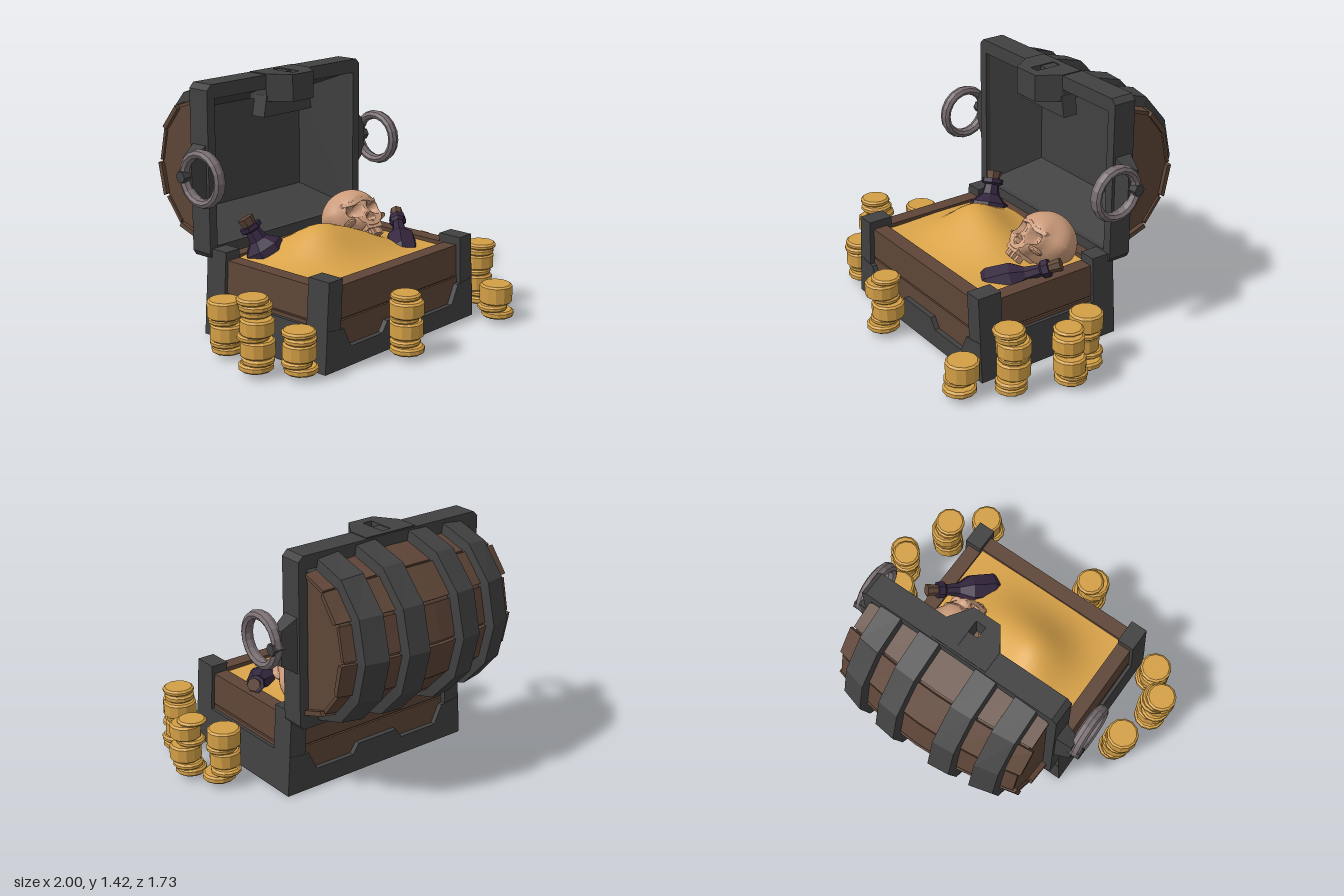
import * as THREE from 'three';

const mat = (name, color, side = THREE.FrontSide, flatShading = true) => {
  const m = new THREE.MeshStandardMaterial({ color, side, flatShading });
  m.name = name;
  return m;
};
const add = (parent, name, geo, material) => {
  const m = new THREE.Mesh(geo, material);
  m.name = name;
  parent.add(m);
  return m;
};
const group = (parent, name) => {
  const g = new THREE.Group();
  g.name = name;
  parent.add(g);
  return g;
};
// Box from its minimum and maximum corners
const box = (x0, x1, y0, y1, z0, z1) =>
  new THREE.BoxGeometry(x1 - x0, y1 - y0, z1 - z0).translate((x0 + x1) / 2, (y0 + y1) / 2, (z0 + z1) / 2);
const warp = (geo, rule) => {
  const p = geo.attributes.position, v = new THREE.Vector3();
  for (let i = 0; i < p.count; i++) {
    v.fromBufferAttribute(p, i);
    rule(v);
    p.setXYZ(i, v.x, v.y, v.z);
  }
  geo.computeVertexNormals();
  return geo;
};
const vectors = pts => pts.map(p => new THREE.Vector2(...p));
const shapeOf = pts => new THREE.Shape(vectors(pts));
const extrude = (shape, depth) => new THREE.ExtrudeGeometry(shape, { depth, bevelEnabled: false });
const lathe = (pts, sides) => new THREE.LatheGeometry(vectors(pts), sides);

export function createModel() {
  const model = new THREE.Group();
  model.name = 'treasureChest';
  const iron = mat('darkIron', 0x414141, THREE.DoubleSide);
  const wood = mat('brownWood', 0x5e4537);
  const sand = mat('goldPile', 0xd9a349, THREE.DoubleSide, false);
  const coinGold = mat('coinGold', 0xd4a046);
  const glass = mat('purpleGlass', 0x34263e);
  const bone = mat('bone', 0xcb9b7b);
  const steel = mat('ringSteel', 0x786d70);

  const chest = group(model, 'chest');
  chest.position.x = -0.02;

  // Base, narrowing slightly towards the top; a set-back wall closes the seam between planks
  const base = group(chest, 'base');
  const taper = geo => warp(geo, v => { v.x *= 1 - 0.1 * v.y; });
  for (const [y0, y1, inset] of [[0.04, 0.255, 0], [0.265, 0.45, 0], [0.04, 0.44, 0.012]]) {
    add(base, 'frontPlank', taper(box(-0.6, 0.6, y0, y1, 0.49 + inset, 0.58 - inset)), wood);
    add(base, 'backPlank', taper(box(-0.6, 0.6, y0, y1, -0.28 + inset, -0.2 - inset)), wood);
    for (const s of [-1, 1])
      add(base, 'sidePlank', taper(box(s * 0.57 - 0.045 + inset, s * 0.57 + 0.045 - inset, y0, y1, -0.26, 0.56)), wood);
  }
  add(base, 'floor', box(-0.61, 0.61, 0.004, 0.06, -0.29, 0.59), iron);
  add(base, 'bottomPanel', box(-0.46, 0.46, 0, 0.01, -0.15, 0.45), wood);
  const rim = [[-0.635, 0], [0.635, 0], [0.635, 0.235], [0.5, 0.22], [0.44, 0.11], [0.18, 0.11], [0.14, 0.17],
    [-0.14, 0.17], [-0.18, 0.11], [-0.44, 0.11], [-0.5, 0.22], [-0.635, 0.235]];
  for (const z of [0.57, -0.31])
    add(base, 'ironRim', taper(extrude(shapeOf(rim), 0.04).translate(0, 0, z)), iron);
  for (const s of [-1, 1]) {
    add(base, 'ironSide', taper(box(s * 0.615 - 0.02, s * 0.615 + 0.02, 0, 0.235, -0.31, 0.61)), iron);
    for (const z of [-0.235, 0.535])
      add(base, 'cornerPost', taper(box(s * 0.58 - 0.055, s * 0.58 + 0.055, 0.02, 0.5, z - 0.073, z + 0.073)), iron);
  }

  // Gold heap
  const hill = (x, z, cx, cz, h, s) => h * Math.exp(-((x - cx) ** 2 + (z - cz) ** 2) / (2 * s * s));
  add(chest, 'goldHeap', warp(new THREE.PlaneGeometry(1.04, 0.72, 28, 20).rotateX(-Math.PI / 2), v => {
    v.z += 0.15;
    v.y = 0.425 + hill(v.x, v.z, -0.16, 0.13, 0.15, 0.14) + hill(v.x, v.z, 0.1, 0.16, 0.1, 0.15)
      + hill(v.x, v.z, -0.2, -0.08, 0.05, 0.14);
  }), sand);

  // Lid: barrel-shaped shell, bulging in the middle
  const lid = group(chest, 'lid');
  const CY = 0.925, CZ = -0.4;
  const arcPanel = (x0, x1, a0, a1, outer, inner, nx, na, chamfer = 0) =>
    warp(new THREE.BoxGeometry(1, 1, 1, nx, na, 1), v => {
      const x = x0 + (v.x + 0.5) * (x1 - x0), a = a0 + (v.y + 0.5) * (a1 - a0);
      const off = v.z < 0 ? outer : inner, t = (x / 0.58) ** 2;
      v.set(x - (v.z < 0 ? Math.sign(v.x) * chamfer : 0), CY + (0.43 - 0.035 * t + off) * Math.sin(a),
        CZ - (0.41 - 0.09 * t + off) * Math.cos(a));
    });
  const H = Math.PI / 2, step = Math.PI / 6;
  for (let i = 0; i < 6; i++) {
    const a = -H + i * step, end = i % 2 ? 0.575 : 0.59;
    add(lid, 'lidPlank', arcPanel(-end, end, a + 0.02, a + step - 0.02, i % 2 ? 0 : 0.008, -0.02, 6, 1), wood);
  }
  add(lid, 'lidLining', arcPanel(-0.56, 0.56, -H, H, -0.012, -0.02, 6, 6), wood);
  const capPts = [];
  for (let i = 0; i <= 6; i++) capPts.push([0.31 * Math.cos(-H + i * step), 0.385 * Math.sin(-H + i * step)]);
  for (const x of [-0.56, 0.545])
    add(lid, 'lidEnd', extrude(shapeOf(capPts), 0.015).rotateY(H).translate(x, CY, CZ), wood);
  for (const [x, w] of [[0.43, 0.078], [0.18, 0.076]])
    for (const s of [-1, 1])
      add(lid, 'ironBand', arcPanel(s * x - w, s * x + w, -H, H, 0.058, -0.015, 1, 6, 0.012), iron);

  // Lid frame with chamfered corners, and the tapering inside
  const frame = shapeOf([[-0.6, 0.44], [0.6, 0.44], [0.62, 0.47], [0.62, 1.39], [0.59, 1.42], [-0.59, 1.42],
    [-0.62, 1.39], [-0.62, 0.47]]);
  frame.holes.push(new THREE.Path(vectors([[-0.565, 0.51], [-0.565, 1.34], [0.565, 1.34], [0.565, 0.51]])));
  add(lid, 'lidFrame', extrude(frame, 0.14).translate(0, 0, -0.41), iron);
  const inside = new THREE.BoxGeometry(1, 1, 1);
  inside.setIndex([...inside.index.array].filter((_, i) => i < 24 || i > 29));
  add(lid, 'lidInside', warp(inside, v => {
    const back = v.z < 0;
    v.set(v.x * (back ? 0.86 : 1.13), CY + v.y * (back ? 0.59 : 0.83), back ? -0.59 : -0.3);
  }), iron);

  // Lock tongue with a slot
  const lock = shapeOf([[-0.17, 0.4], [-0.17, 0.27], [-0.085, 0.145], [0.085, 0.145], [0.17, 0.27], [0.17, 0.4]]);
  lock.holes.push(new THREE.Path(vectors([[-0.03, 0.2], [-0.03, 0.36], [0.03, 0.36], [0.03, 0.2]])));
  add(lid, 'lock', extrude(lock, 0.155).rotateX(-H).translate(0, 1.27, 0), iron);
  add(lid, 'lockFlange', warp(box(-0.195, 0.195, 1.18, 1.3, -0.36, -0.265), v => {
    if (v.y > 1.25) v.x *= 0.88;
  }), iron);

  // Ring handles on flared brackets
  for (const s of [-1, 1]) {
    const handle = group(lid, s > 0 ? 'leftHandle' : 'rightHandle');
    add(handle, 'bracket', warp(box(-0.05, 0.05, -0.165, 0.165, -0.055, 0.055), v => {
      if (v.x * s > 0) { v.y *= 0.6; v.z *= 0.6; }
    }).translate(s * 0.66, CY, -0.34), iron);
    add(handle, 'pin', new THREE.CylinderGeometry(0.035, 0.035, 0.12, 6).rotateZ(H)
      .translate(s * 0.7, CY, -0.345), iron);
    add(handle, 'ring', new THREE.TorusGeometry(0.138, 0.027, 8, 18).rotateY(H).scale(1.3, 1, 1)
      .translate(s * 0.718, 0.93, -0.215), steel);
  }

  // Skull: a sphere with sockets pressed in, pinched temples and a narrow upper jaw
  const skull = group(model, 'skull');
  skull.position.set(0.295, 0.525, -0.06);
  skull.rotation.set(-0.75, -0.12, -0.1);
  const dents = [[-0.07, -0.02, 0.042, 0.08], [0.07, -0.02, 0.042, 0.08], [0, -0.085, 0.02, 0.05]];
  add(skull, 'cranium', warp(new THREE.IcosahedronGeometry(1, 14), v => {
    v.multiply(new THREE.Vector3(0.176, 0.165, 0.182));
    const low = Math.max(0, Math.min(1, (0.03 - v.y) / 0.14));
    v.x *= 1 - 0.25 * low;
    if (v.z > 0) {
      v.z += 0.07 * low * Math.min(1, v.z / 0.06);
      v.x *= 1 - 0.12 * Math.exp(-(((v.z - 0.09) / 0.05) ** 2));
    }
    v.z = Math.min(v.z, 0.168);
    for (const [x, y, r, depth] of dents) {
      const d = ((v.x - x) ** 2 + (v.y - y) ** 2) / (r * r);
      if (v.z > 0.03) v.z -= depth * Math.exp(-d * d);
    }
  }), bone);
  add(skull, 'upperJaw', warp(box(-0.07, 0.07, -0.155, -0.105, 0.02, 0.165), v => {
    if (v.z > 0.1) v.x *= 0.75;
  }), bone);
  for (let i = -2; i <= 2; i++)
    add(skull, 'tooth', box(i * 0.025 - 0.01, i * 0.025 + 0.01, -0.19, -0.15,
      0.12 - 0.006 * i * i, 0.16 - 0.006 * i * i), bone);
  for (const s of [-1, 1])
    add(skull, 'cheekbone', new THREE.IcosahedronGeometry(1, 1).scale(0.042, 0.018, 0.05)
      .translate(s * 0.105, -0.075, 0.105), bone);
  add(skull, 'brow', warp(new THREE.BoxGeometry(0.25, 0.022, 0.04, 8, 1, 1), v => {
    v.y += 0.028 + 0.008 * Math.cos(v.x * 45);
    v.z += 0.155 - 3.2 * v.x * v.x;
  }), bone);

  // Corked bottles, half sunk in the gold
  const bottle = (start, axis, wide, long) => {
    const g = group(model, 'bottle');
    g.position.set(...start);
    g.quaternion.setFromUnitVectors(new THREE.Vector3(0, 1, 0), new THREE.Vector3(...axis).normalize());
    g.scale.set(wide, long, wide);
    add(g, 'bottleGlass', lathe([[0, 0], [0.09, 0], [0.115, 0.03], [0.105, 0.12], [0.05, 0.17], [0.04, 0.225],
      [0.06, 0.235], [0.06, 0.26], [0, 0.26]], 7), glass);
    add(g, 'cork', new THREE.CylinderGeometry(0.045, 0.036, 0.05, 7).translate(0, 0.28, 0), wood);
  };
  bottle([-0.33, 0.37, -0.085], [-0.09, 0.26, -0.12], 1.1, 1.05);
  bottle([0.28, 0.365, 0.36], [0.3, 0.17, -0.31], 0.85, 1.5);

  // Coin stacks: x, z, top height
  let seed = 7;
  const rand = () => (seed = (seed * 16807) % 2147483647) / 2147483647 - 0.5;
  const coin = (r, h) => lathe([[0, 0], [r - 0.012, 0], [r, 0.01], [r, h - 0.01], [r - 0.012, h], [0, h]], 12);
  const heights = [0.042, 0.035, 0.095, 0.035, 0.09, 0.04, 0.038];
  for (const [x, z, top] of [[-0.825, 0.045, 0.34], [-0.895, 0.345, 0.44], [-0.77, 0.53, 0.27], [-0.155, 0.745, 0.36],
    [0.8, 0.05, 0.34], [0.895, 0.25, 0.35], [0.775, 0.525, 0.4], [0.625, 0.755, 0.22]]) {
    const stack = group(model, 'coinStack');
    for (let y = 0.03, i = 0; y < top - 0.012; i++) {
      let h = heights[i % 7];
      if (top - y - h < 0.02) h = top - y;
      const c = add(stack, 'coin', coin(0.084 + (i % 2 ? 0 : 0.008) + rand() * 0.008, h), coinGold);
      c.position.set(x + rand() * 0.04, y, z + rand() * 0.04);
      c.rotation.y = rand() * 3;
      y += h;
    }
  }
  return model;
}
